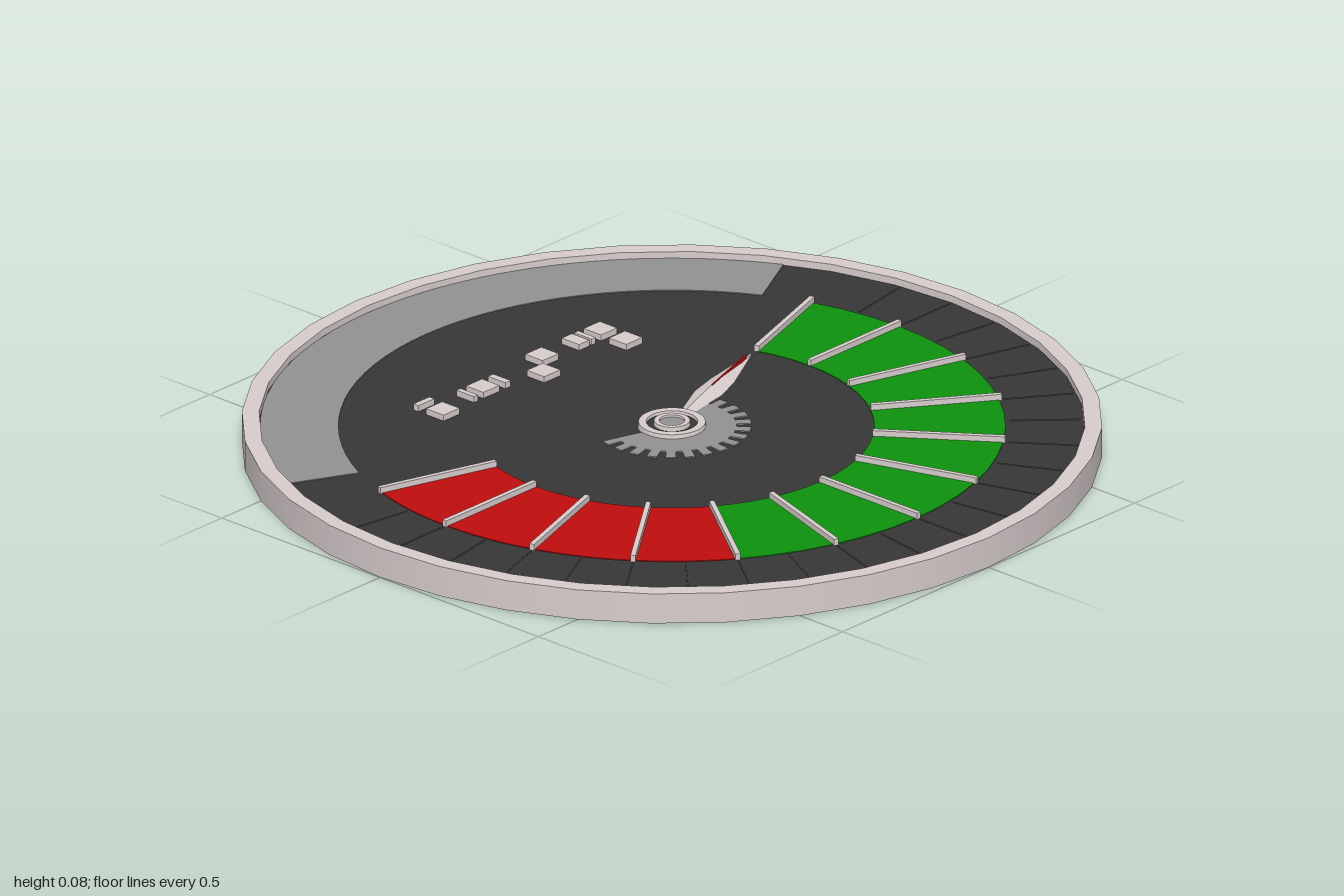
import * as THREE from 'three';

const mat = (color, extra = {}) => new THREE.MeshStandardMaterial({ color, ...extra });
const MATS = {
  pale: mat(0xd8cdcd),
  facet: mat(0xd8cdcd, { flatShading: true }),
  dark: mat(0x383637),
  grey: mat(0x929292),
  seam: mat(0x5a5858),
  green: mat(0x0d930d),
  red: mat(0xc00d0d),
};
const FACE = 0.057;
const rad = THREE.MathUtils.degToRad;

export function createModel() {
  const model = new THREE.Group();
  const add = (name, geometry, material) => {
    const mesh = new THREE.Mesh(geometry, material);
    mesh.name = name;
    model.add(mesh);
    return mesh;
  };

  // Lay a flat shape on the dial and give it thickness from y0 to y1
  const plate = (name, shape, y0, y1, material, curveSegments = 12) => {
    const g = new THREE.ExtrudeGeometry(shape, { depth: y1 - y0, bevelEnabled: false, curveSegments });
    g.rotateX(-Math.PI / 2);
    g.translate(0, y0, 0);
    return add(name, g, material);
  };

  // Ring sector between two angles in degrees, counted from +x towards -z
  const sector = (r0, r1, from, to) => {
    const s = new THREE.Shape();
    s.absarc(0, 0, r1, rad(from), rad(to), false);
    s.absarc(0, 0, r0, rad(to), rad(from), true);
    s.closePath();
    return s;
  };

  // Thin radial bar
  const bar = (name, angle, r0, r1, width, y0, y1, material) => {
    const g = new THREE.BoxGeometry(r1 - r0, y1 - y0, width);
    g.translate((r0 + r1) / 2, (y0 + y1) / 2, 0);
    g.rotateY(rad(angle));
    return add(name, g, material);
  };

  // Lathe from straight profile segments, so its corners stay sharp
  const turned = (name, profile, material, sides) => {
    for (let i = 0; i < profile.length - 1; i++) {
      const pts = [profile[i], profile[i + 1]].map(([r, y]) => new THREE.Vector2(r, y));
      add(name, new THREE.LatheGeometry(pts, sides), material);
    }
  };

  // Outer rim and recessed dark body with a step underneath
  turned('rim', [[0.965, 0], [1, 0], [1, 0.075], [0.96, 0.075], [0.96, FACE - 0.003]], MATS.pale, 36);
  turned('body', [[0, 0.003], [0.83, 0.003], [0.835, 0], [0.998, -0.0002]], MATS.dark, 36);
  turned('dialFace', [[0.962, FACE], [0, FACE]], MATS.dark, 36);

  // Coloured scale, and the grey band opposite it
  plate('greenZone', sector(0.47, 0.775, -36, 108), FACE - 0.004, FACE + 0.002, MATS.green);
  plate('redZone', sector(0.47, 0.775, -108, -36), FACE - 0.004, FACE + 0.002, MATS.red);
  plate('greyBand', sector(0.775, 0.957, 117, 243), FACE - 0.004, FACE + 0.002, MATS.grey, 16);

  // Major ticks every 18 degrees, fine outer marks every 9
  for (let a = -108; a <= 108; a += 18) {
    bar('majorTick', a, 0.47, 0.78, 0.012, FACE - 0.002, 0.073, MATS.pale);
  }
  for (let a = -99; a <= 99; a += 9) {
    bar('fineMark', a, 0.785, 0.95, 0.003, FACE - 0.002, FACE + 0.002, MATS.seam);
  }

  // Partial gear around the hub
  const gear = new THREE.Shape();
  gear.moveTo(0, 0);
  const teeth = 15, first = -108, step = 210 / teeth;
  for (let i = 0; i < teeth; i++) {
    const a = first + i * step;
    [[0.185, 0], [0.185, 0.55], [0.15, 0.6], [0.15, 0.97]].forEach(([r, t]) => {
      const w = rad(a + t * step);
      gear.lineTo(r * Math.cos(w), r * Math.sin(w));
    });
  }
  gear.closePath();
  plate('gear', gear, FACE - 0.004, FACE + 0.003, MATS.grey);
  plate('gearBack', sector(0.001, 0.165, -108, 102), 0.0005, 0.01, MATS.grey);

  // Hub: two concentric rings around a small cap
  turned('hubRing', [[0.08, FACE], [0.078, 0.07], [0.06, 0.07], [0.058, FACE]], MATS.pale, 32);
  turned('hubDisc', [[0.06, 0.063], [0, 0.063]], MATS.dark, 32);
  turned('hubInnerRing', [[0.044, FACE], [0.042, 0.073], [0.03, 0.073], [0.028, FACE]], MATS.pale, 24);
  turned('hubCap', [[0.03, 0.068], [0, 0.068]], MATS.grey, 24);

  // Needle: ridged cross-sections [distance, half width, ridge height]
  const sections = [[0.07, 0.014, 0.068], [0.2, 0.034, 0.073], [0.28, 0.03, 0.073], [0.44, 0.001, 0.066]];
  const verts = [], index = [];
  sections.forEach(([r, w, h]) => verts.push(r, 0.06, w, r, h, 0, r, 0.06, -w));
  for (let i = 0; i < sections.length - 1; i++) {
    for (let j = 0; j < 3; j++) {
      const a = i * 3 + j, b = i * 3 + (j + 1) % 3;
      index.push(a, a + 3, b, b, a + 3, b + 3);
    }
  }
  index.push(0, 1, 2);
  const needle = new THREE.BufferGeometry();
  needle.setAttribute('position', new THREE.Float32BufferAttribute(verts, 3));
  needle.setIndex(index);
  needle.computeVertexNormals();
  needle.rotateY(rad(108));
  add('needle', needle, MATS.facet);
  bar('needleStripe', 108, 0.22, 0.41, 0.004, 0.064, 0.0735, MATS.red);

  // Small display blocks passing through the dial: [x, z, width, depth]
  [
    [-0.48, -0.275, 0.055, 0.055], [-0.4, -0.275, 0.055, 0.055],
    [-0.48, -0.222, 0.055, 0.014], [-0.48, -0.19, 0.055, 0.035],
    [-0.48, -0.075, 0.055, 0.055], [-0.415, -0.01, 0.055, 0.055],
    [-0.458, 0.095, 0.055, 0.018], [-0.458, 0.152, 0.055, 0.055],
    [-0.458, 0.205, 0.055, 0.014],
    [-0.498, 0.31, 0.016, 0.055], [-0.438, 0.31, 0.055, 0.055],
  ].forEach(([x, z, w, d]) => {
    const g = new THREE.BoxGeometry(w, 0.071, d);
    g.translate(x, 0.0365, z);
    add('displayBlock', g, MATS.pale);
  });

  // Broken ring of plates on the underside
  [[-43, 75], [-127, -47], [-165, -147], [93, 123]].forEach(([from, to]) => {
    plate('undersidePlate', sector(0.28, 0.495, from, to), 0.0005, 0.01, MATS.grey);
  });

  return model;
}
